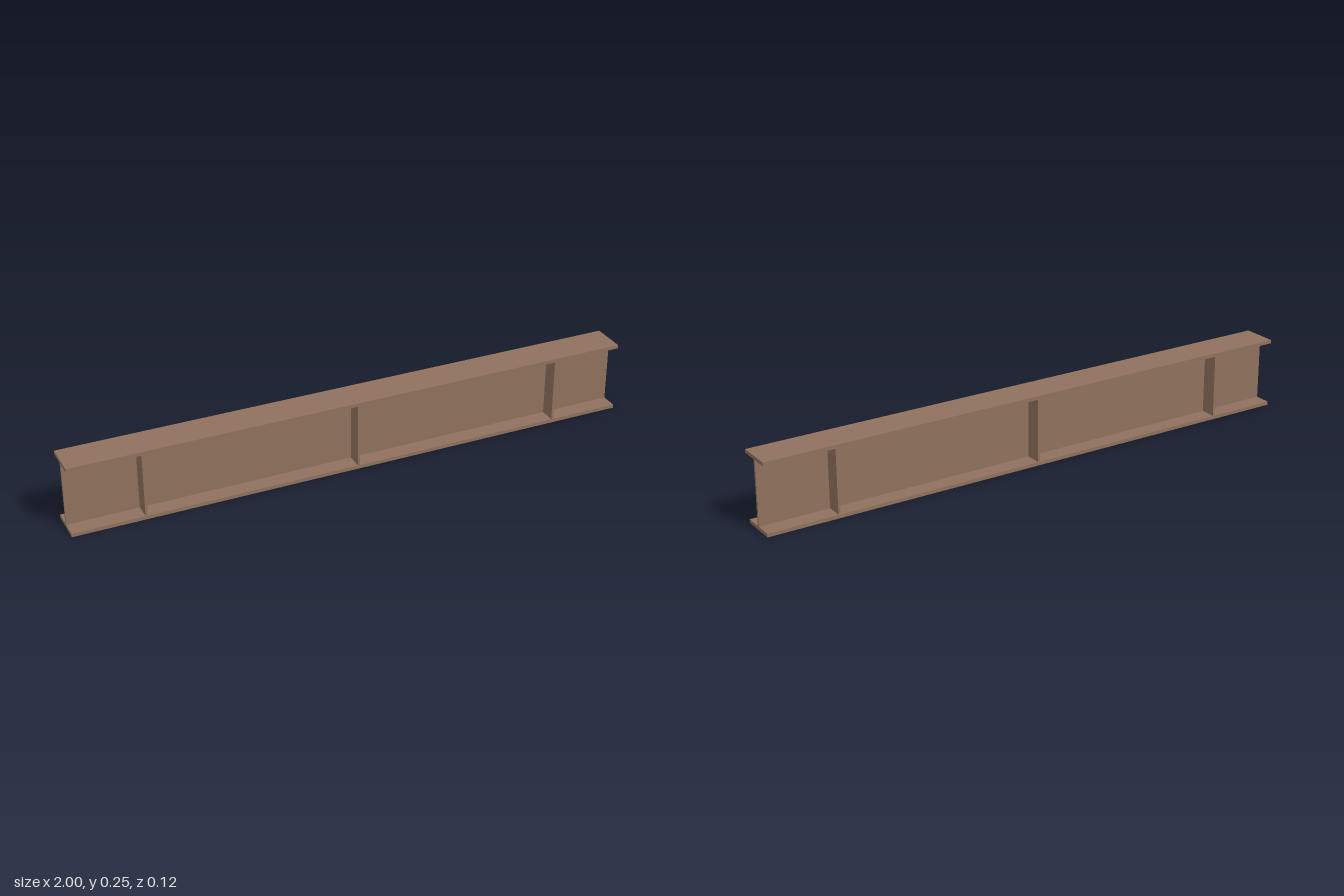
import * as THREE from 'three';

const LENGTH = 2, HEIGHT = 0.25, WIDTH = 0.125;
const FLANGE = 0.0125, WEB = 0.008, RIB = 0.008, RIB_EDGE = 0.0605;

export function createModel() {
  const beam = new THREE.Group();
  beam.name = 'steelBeam';
  const steel = new THREE.MeshStandardMaterial({ color: 0x8f715d });
  steel.name = 'brown primed steel';

  const plate = (name, size, position) => {
    const mesh = new THREE.Mesh(new THREE.BoxGeometry(...size), steel);
    mesh.name = name;
    mesh.position.set(...position);
    beam.add(mesh);
  };

  // Horizontal flanges and the upright web between them
  const clear = HEIGHT - 2 * FLANGE;
  plate('bottomFlange', [LENGTH, FLANGE, WIDTH], [0, FLANGE / 2, 0]);
  plate('topFlange', [LENGTH, FLANGE, WIDTH], [0, HEIGHT - FLANGE / 2, 0]);
  plate('web', [LENGTH, clear, WEB], [0, HEIGHT / 2, 0]);

  // Stiffener plates in pairs, one on each side of the web
  const depth = RIB_EDGE - WEB / 2;
  for (const [place, x] of [['right', -0.75], ['middle', 0], ['left', 0.75]]) {
    for (const [face, side] of [['Front', 1], ['Back', -1]]) {
      plate(`${place}${face}Stiffener`, [RIB, clear, depth],
        [x, HEIGHT / 2, side * (WEB / 2 + depth / 2)]);
    }
  }
  return beam;
}
